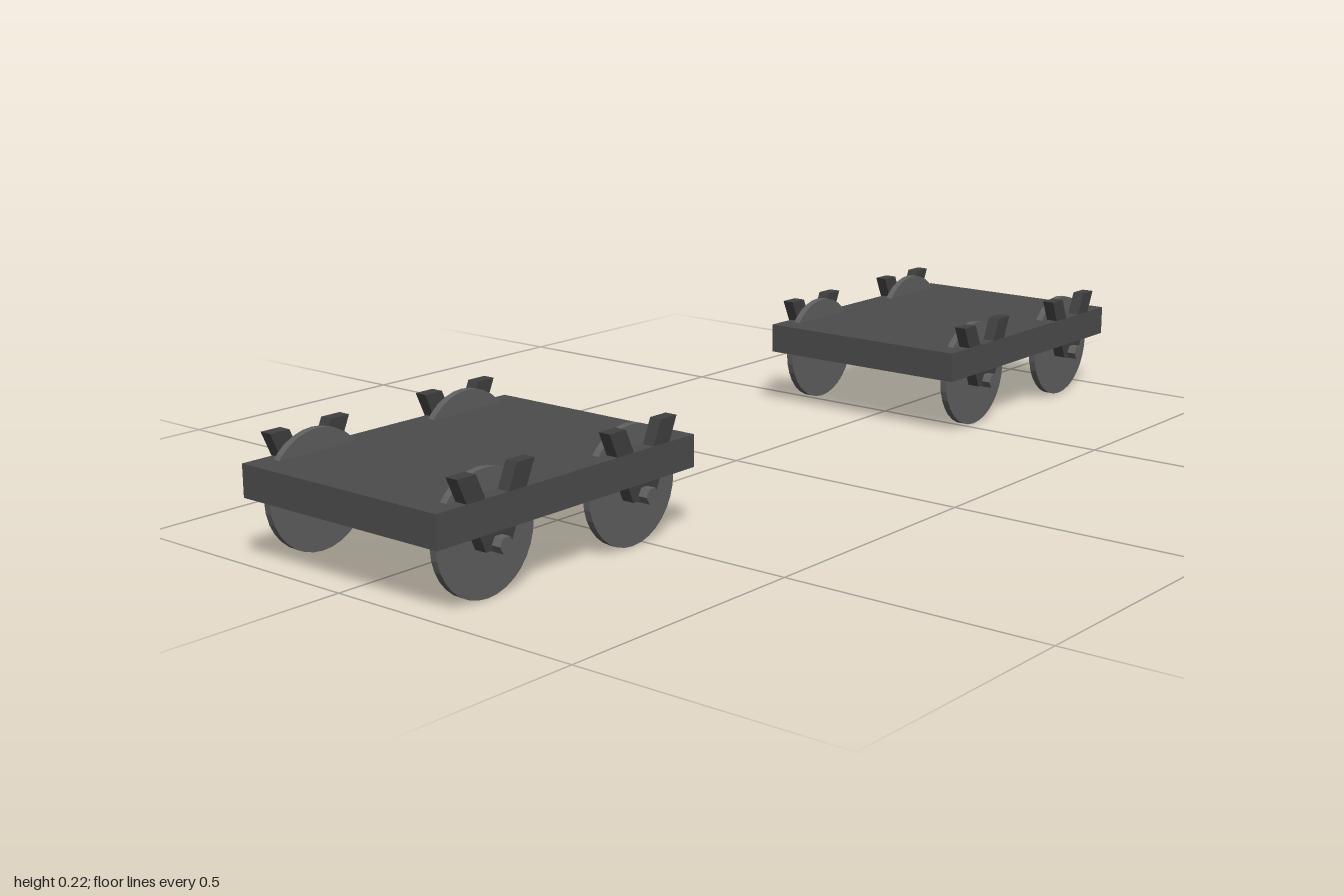
import * as THREE from 'three';

const material = (color) => new THREE.MeshStandardMaterial({ color, flatShading: true });

function part(name, geometry, mat, x, y, z) {
  const mesh = new THREE.Mesh(geometry, mat);
  mesh.name = name;
  mesh.position.set(x, y, z);
  return mesh;
}

export function createModel() {
  const model = new THREE.Group();
  model.name = 'wagonTrucks';

  const deckMat = material(0x4c4c4c);
  const bracketMat = material(0x404040);
  const wheelMat = material(0x606060);

  const deckGeo = new THREE.BoxGeometry(0.451, 0.058, 0.6);
  const wheelGeo = new THREE.CylinderGeometry(0.106, 0.106, 0.014, 32).rotateZ(Math.PI / 2);
  // Six-sided axle cap with a flat on top
  const capGeo = new THREE.CylinderGeometry(0.015, 0.015, 0.032, 6).rotateZ(Math.PI / 2);

  // V-shaped hanger, drawn in the z-y plane and extruded across x
  const vee = new THREE.Shape([
    [-0.027, 0.087], [0.027, 0.087], [0.084, 0.216], [0.044, 0.216],
    [0, 0.117], [-0.044, 0.216], [-0.084, 0.216],
  ].map(([z, y]) => new THREE.Vector2(z, y)));
  const hangerGeo = new THREE.ExtrudeGeometry(vee, { depth: 0.024, bevelEnabled: false })
    .translate(0, 0, -0.012)
    .rotateY(Math.PI / 2);

  for (const end of [1, -1]) {
    const truck = new THREE.Group();
    truck.name = end > 0 ? 'frontTruck' : 'backTruck';
    truck.position.z = end * 0.7;
    truck.add(part('deck', deckGeo, deckMat, 0.0027, 0.144, 0));

    // Wheel, hanger and cap at each corner
    for (const side of [1, -1]) {
      for (const z of [0.171, -0.171]) {
        truck.add(
          part('wheel', wheelGeo, wheelMat, side * 0.194, 0.106, z),
          part('hanger', hangerGeo, bracketMat, side > 0 ? 0.216 : -0.216, 0, z),
          part('axleCap', capGeo, wheelMat, side * 0.23, 0.096, z),
        );
      }
    }
    model.add(truck);
  }
  return model;
}
